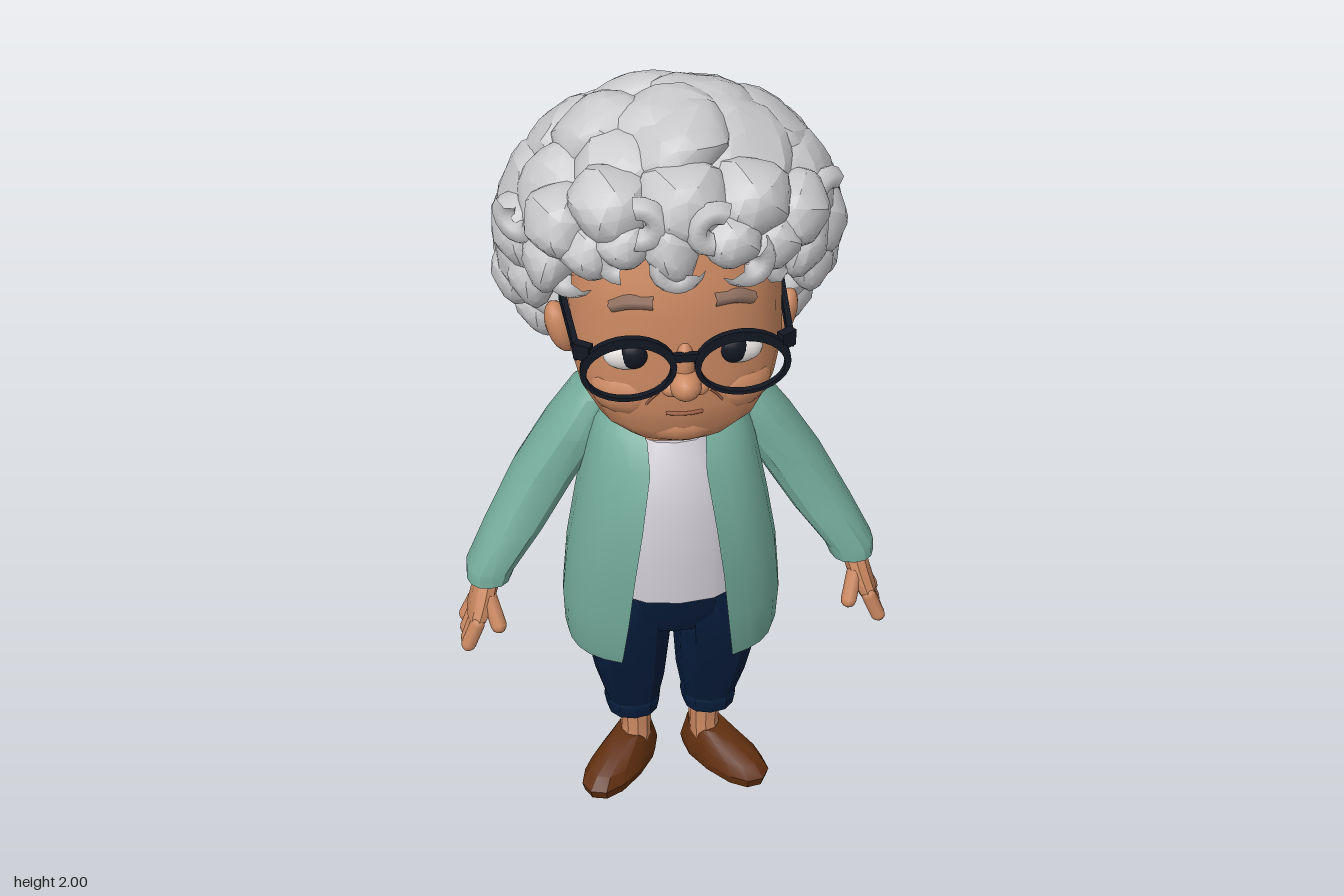
import * as THREE from 'three';
import { toCreasedNormals } from 'three/addons/utils/BufferGeometryUtils.js';

const paint = (name, color, side = THREE.FrontSide) => {
  const m = new THREE.MeshStandardMaterial({ color, side });
  m.name = name;
  return m;
};

export function createModel() {
  const skin = paint('skin', 0xca8861), crease = paint('skin crease', 0xa2634a);
  const hair = paint('grey hair', 0xcacacd), brow = paint('brow', 0x967565);
  const teal = paint('teal knit', 0x74ab9b, THREE.DoubleSide), cotton = paint('pale cotton', 0xcdcad2);
  const denim = paint('navy denim', 0x071c3a), leather = paint('brown leather', 0x602f10);
  const black = paint('black', 0x121722), white = paint('eye white', 0xe6e2e0);

  const model = new THREE.Group();
  model.name = 'grandmother';
  const add = (name, geo, mat, pos = [0, 0, 0], parent = model) => {
    const mesh = new THREE.Mesh(geo, mat);
    mesh.name = name;
    mesh.position.set(...pos);
    parent.add(mesh);
    return mesh;
  };

  // Skin over horizontal rings, bottom to top: [y, cx, cz, rx, rz, front opening half width]
  const pow = (v) => Math.sign(v) * Math.abs(v) ** 0.85;
  const loft = (rings, n = 16, angle = 0.5) => {
    const pos = [], index = [], open = rings[0].length > 5, w = n + 1;
    for (const [y, cx, cz, rx, rz, gap = 0] of rings) {
      const a0 = Math.asin((gap / rx) ** (1 / 0.85));
      for (let j = 0; j <= n; j++) {
        const a = a0 + (2 * Math.PI - 2 * a0) * j / n;
        pos.push(cx + rx * pow(Math.sin(a)), y, cz + rz * pow(Math.cos(a)));
      }
    }
    for (let i = 0; i < rings.length - 1; i++) for (let j = 0; j < n; j++) {
      const a = i * w + j, b = a + w;
      index.push(a, a + 1, b, a + 1, b + 1, b);
    }
    if (!open) {
      [0, rings.length - 1].forEach((i) => {
        const c = pos.length / 3;
        pos.push(rings[i][1], rings[i][0], rings[i][2]);
        for (let j = 0; j < n; j++) {
          const a = i * w + j;
          i ? index.push(c, a, a + 1) : index.push(c, a + 1, a);
        }
      });
    }
    const g = new THREE.BufferGeometry();
    g.setAttribute('position', new THREE.Float32BufferAttribute(pos, 3));
    g.setIndex(index);
    return toCreasedNormals(g, angle);
  };
  const side = (rings, s) => rings.map(([y, cx, ...r]) => [y, cx * s, ...r]);

  const ball = (name, mat, pos, size) => {
    const mesh = add(name, new THREE.SphereGeometry(1, 14, 10), mat, pos);
    mesh.scale.set(...size);
    return mesh;
  };
  // Round bar between two points
  const rod = (name, mat, a, b, r) => {
    const p = new THREE.Vector3(...a), q = new THREE.Vector3(...b), d = q.clone().sub(p);
    const mesh = add(name, new THREE.CapsuleGeometry(r, d.length(), 3, 8), mat, p.clone().add(q).multiplyScalar(0.5).toArray());
    mesh.quaternion.setFromUnitVectors(new THREE.Vector3(0, 1, 0), d.normalize());
  };
  const line = (name, mat, pts, r) => add(name, new THREE.TubeGeometry(
    new THREE.CatmullRomCurve3(pts.map((p) => new THREE.Vector3(...p))), 8, r, 5), mat);

  // Clothes and neck
  add('cardigan', loft([
    [0.46, 0, 0.04, 0.262, 0.176, 0.14], [0.49, 0, 0.042, 0.27, 0.181, 0.137], [0.6, 0, 0.05, 0.275, 0.19, 0.125],
    [0.75, 0, 0.055, 0.262, 0.197, 0.11], [0.9, 0, 0.055, 0.237, 0.196, 0.09],
    [1.05, 0, 0.04, 0.208, 0.175, 0.068], [1.12, 0, 0.025, 0.188, 0.15, 0.07],
    [1.18, 0, -0.002, 0.16, 0.11, 0.105], [1.225, 0, -0.02, 0.12, 0.075, 0.11]], 24), teal);
  add('shirt', loft([[0.69, 0, 0.07, 0.19, 0.187], [0.8, 0, 0.07, 0.185, 0.187], [0.95, 0, 0.06, 0.165, 0.178],
    [1.05, 0, 0.05, 0.14, 0.155], [1.11, 0, 0.045, 0.105, 0.12]]), cotton);
  add('neck', loft([[1.05, 0, 0.035, 0.13, 0.12], [1.12, 0, 0.035, 0.13, 0.12], [1.17, 0, 0.035, 0.11, 0.1],
    [1.25, 0, 0.03, 0.085, 0.09], [1.35, 0, 0.03, 0.085, 0.09]]), skin);
  add('hips', loft([[0.53, 0, 0.06, 0.185, 0.11], [0.6, 0, 0.055, 0.205, 0.145],
    [0.72, 0, 0.05, 0.18, 0.165]]), denim);

  for (const s of [1, -1]) {
    const tag = s > 0 ? 'left' : 'right';
    // Legs and shoes
    add(tag + 'TrouserLeg', loft(side([[0.19, 0.1, 0.035, 0.068, 0.074], [0.225, 0.1, 0.037, 0.074, 0.079],
      [0.235, 0.1, 0.038, 0.071, 0.075], [0.33, 0.105, 0.052, 0.092, 0.09], [0.46, 0.112, 0.07, 0.109, 0.105],
      [0.58, 0.105, 0.07, 0.104, 0.122], [0.68, 0.09, 0.06, 0.089, 0.13]], s), 12), denim);
    add(tag + 'Ankle', loft(side([[0.05, 0.095, 0.028, 0.042, 0.06], [0.12, 0.09, 0.027, 0.039, 0.05],
      [0.22, 0.092, 0.028, 0.044, 0.055]], s), 10), skin);
    const shoe = add(tag + 'Shoe', loft([[0.003, 0, 0, 0.062, 0.138], [0.03, 0, 0, 0.067, 0.146], [0.06, 0, -0.012, 0.058, 0.127],
      [0.085, 0, -0.045, 0.047, 0.085], [0.102, 0, -0.066, 0.04, 0.06]], 12), leather, [0.139 * s, 0, 0.087]);
    shoe.rotation.y = 0.65 * s;

    // Sleeves and hands
    add(tag + 'Sleeve', loft(side([[0.665, 0.46, 0.05, 0.056, 0.066], [0.7, 0.452, 0.045, 0.063, 0.07],
      [0.8, 0.387, 0.015, 0.076, 0.077], [0.94, 0.303, -0.02, 0.083, 0.087], [1.06, 0.227, -0.03, 0.082, 0.092],
      [1.16, 0.17, -0.035, 0.066, 0.078], [1.21, 0.13, -0.03, 0.045, 0.045]], s), 14), teal);
    add(tag + 'Palm', loft(side([[0.555, 0.498, 0.08, 0.022, 0.06], [0.58, 0.492, 0.08, 0.029, 0.067],
      [0.63, 0.475, 0.07, 0.032, 0.056], [0.69, 0.458, 0.058, 0.034, 0.04]], s), 10), skin);
    for (let f = 0; f < 4; f++) {
      const z = 0.025 + f * 0.036, drop = [0.02, 0.005, 0, 0.01][f];
      rod(tag + 'Finger', skin, [0.497 * s, 0.57, z], [0.522 * s, 0.502 + drop, z + 0.006], 0.019);
    }
    rod(tag + 'Thumb', skin, [0.462 * s, 0.625, 0.105], [0.444 * s, 0.565, 0.14], 0.02);

    // Face sides
    const ear = ball(tag + 'Ear', skin, [0.262 * s, 1.395, 0.06], [0.034, 0.07, 0.042]);
    ear.rotation.z = -0.3 * s;
    ball(tag + 'Cheek', skin, [0.105 * s, 1.345, 0.225], [0.11, 0.08, 0.092]);
    ball(tag + 'Nostril', skin, [0.032 * s, 1.385, 0.325], [0.025, 0.022, 0.028]);
    ball(tag + 'Eye', white, [0.125 * s, 1.457, 0.289], [0.058, 0.038, 0.028]);
    ball(tag + 'Iris', black, [0.113 * s, 1.463, 0.3], [0.036, 0.037, 0.024]);
    line(tag + 'Lash', black, [[0.065 * s, 1.48, 0.312], [0.115 * s, 1.5, 0.308], [0.18 * s, 1.475, 0.282]], 0.007);
    line(tag + 'Brow', brow, [[0.068 * s, 1.598, 0.3], [0.115 * s, 1.598, 0.289], [0.16 * s, 1.578, 0.266]], 0.018);
    line(tag + 'SmileLine', crease, [[0.06 * s, 1.37, 0.324], [0.085 * s, 1.34, 0.317], [0.094 * s, 1.305, 0.304]], 0.003);

    // Spectacle rim, hinge and temple
    const rim = new THREE.Shape().absellipse(0, 0, 0.11, 0.085, 0, Math.PI * 2);
    rim.holes.push(new THREE.Path().absellipse(0, -0.008, 0.096, 0.068, 0, Math.PI * 2));
    add(tag + 'Rim', new THREE.ExtrudeGeometry(rim, { depth: 0.016, bevelEnabled: false, curveSegments: 14 }), black, [0.13 * s, 1.45, 0.33]);
    add(tag + 'Hinge', new THREE.BoxGeometry(0.04, 0.04, 0.022), black, [0.23 * s, 1.498, 0.326]).rotation.y = 0.6 * s;
    add(tag + 'Temple', new THREE.BoxGeometry(0.014, 0.03, 0.26), black, [0.25 * s, 1.485, 0.19]).rotation.y = -0.06 * s;
  }
  add('glassesBridge', new THREE.BoxGeometry(0.07, 0.02, 0.014), black, [0, 1.472, 0.338]);

  // Head
  add('head', loft([[1.19, 0, 0.2, 0.07, 0.06], [1.21, 0, 0.195, 0.13, 0.095], [1.25, 0, 0.18, 0.185, 0.132],
    [1.32, 0, 0.155, 0.228, 0.17], [1.4, 0, 0.12, 0.25, 0.205], [1.47, 0, 0.1, 0.25, 0.222], [1.56, 0, 0.09, 0.25, 0.23],
    [1.64, 0, 0.085, 0.24, 0.22], [1.74, 0, 0.07, 0.2, 0.2]], 18), skin);
  ball('nose', skin, [0, 1.395, 0.335], [0.038, 0.036, 0.046]);
  ball('noseBridge', skin, [0, 1.44, 0.315], [0.024, 0.06, 0.03]);
  ball('chin', skin, [0, 1.25, 0.258], [0.1, 0.052, 0.058]);
  line('mouth', crease, [[-0.042, 1.309, 0.319], [-0.015, 1.309, 0.325], [0.015, 1.309, 0.325], [0.042, 1.309, 0.319]], 0.005);

  // Hair: a leaning core covered with big irregular tufts
  const tuft = new THREE.IcosahedronGeometry(1, 2), tp = tuft.attributes.position;
  for (let i = 0; i < tp.count; i++) {
    const x = tp.getX(i), y = tp.getY(i), z = tp.getZ(i);
    const k = 1 + 0.08 * Math.sin(4 * x + 2 * y) * Math.cos(3 * y - 3 * z);
    tp.setXYZ(i, x * k, y * k, z * k);
  }
  const tuftGeo = toCreasedNormals(tuft, 0.45);
  const curls = new THREE.Group();
  curls.name = 'hair';
  model.add(curls);
  const lean = (v) => { v.z += (v.y - 1.62) * 0.26; return v; };
  const R = new THREE.Vector3(0.343, 0.318, 0.272), centre = new THREE.Vector3(0, 1.615, -0.045);
  const core = new THREE.SphereGeometry(1, 24, 16), cp = core.attributes.position;
  for (let i = 0; i < cp.count; i++) {
    const v = lean(new THREE.Vector3().fromBufferAttribute(cp, i).multiply(R).add(centre));
    cp.setXYZ(i, v.x, v.y, v.z);
  }
  core.computeVertexNormals();
  add('hairCore', core, hair, [0, 0, 0], curls);
  const N = 44, out = new THREE.Vector3(0, 0, 1);
  for (let i = 0; i < N; i++) {
    const y = 1 - 2 * (i + 0.5) / N, r = Math.sqrt(1 - y * y), a = i * 2.39996;
    const d = new THREE.Vector3(r * Math.sin(a), y, r * Math.cos(a));
    const p = lean(d.clone().multiply(R).add(centre));
    // Leave the face and ears clear
    if ((p.z > 0.01 && p.y < 1.6) || (p.z > 0.11 && p.y < 1.74) || (p.z > -0.06 && p.y < 1.44)) continue;
    const m = add('hairTuft', tuftGeo, hair, p.toArray(), curls);
    m.quaternion.setFromUnitVectors(out, d.divide(R).normalize());
    m.rotateZ(i * 1.7);
    const k = 0.126 + 0.016 * Math.sin(i * 2.3);
    m.scale.set(k * 1.12, k * 0.94, 0.066 + 0.007 * Math.sin(i * 4.1));
  }
  // Side locks and fringe tufts: [x, y, z, rx, ry, rz]
  const locks = [[0, 1.83, 0.27, 0.11, 0.1, 0.1], [-0.03, 1.75, 0.32, 0.06, 0.085, 0.065],
    [0.1, 1.76, 0.31, 0.075, 0.065, 0.07], [-0.13, 1.755, 0.29, 0.07, 0.06, 0.065], [0, 1.91, 0.13, 0.13, 0.078, 0.14]];
  for (const s of [1, -1]) {
    locks.push([0.15 * s, 1.82, 0.24, 0.1, 0.09, 0.1], [0.2 * s, 1.72, 0.25, 0.075, 0.07, 0.075],
      [0.26 * s, 1.76, 0.19, 0.085, 0.085, 0.1], [0.285 * s, 1.66, 0.16, 0.062, 0.09, 0.09],
      [0.32 * s, 1.56, 0.07, 0.06, 0.09, 0.07], [0.34 * s, 1.66, 0.05, 0.07, 0.1, 0.09],
      [0.34 * s, 1.51, -0.03, 0.072, 0.09, 0.08], [0.29 * s, 1.4, -0.06, 0.07, 0.09, 0.08], [0.2 * s, 1.31, -0.1, 0.09, 0.07, 0.08]);
  }
  locks.forEach(([x, y, z, ...size], i) => {
    const m = add('hairLock', tuftGeo, hair, [x, y, z], curls);
    m.scale.set(...size);
    m.rotation.z = Math.sin(i * 2.1) * 0.3;
  });
  // Loose ringlets along the hairline: [x, y, z, radius, turn]
  [[-0.02, 1.71, 0.345, 0.034, 2.6], [0.14, 1.71, 0.325, 0.04, 3.6], [-0.14, 1.72, 0.305, 0.038, 1.2],
    [0.24, 1.65, 0.23, 0.036, 0.4], [-0.25, 1.64, 0.22, 0.036, 2.2], [0.34, 1.74, 0.12, 0.045, 0.8],
    [-0.35, 1.74, 0.12, 0.045, 2.5], [0.06, 1.81, 0.35, 0.04, 1], [-0.1, 1.82, 0.33, 0.04, 4.5],
  ].forEach(([x, y, z, r, turn]) => {
    const m = add('ringlet', new THREE.TorusGeometry(r, 0.029, 6, 9, 3.6), hair, [x, y, z], curls);
    m.rotation.set(0, x * 2.2, turn);
  });
  return model;
}
